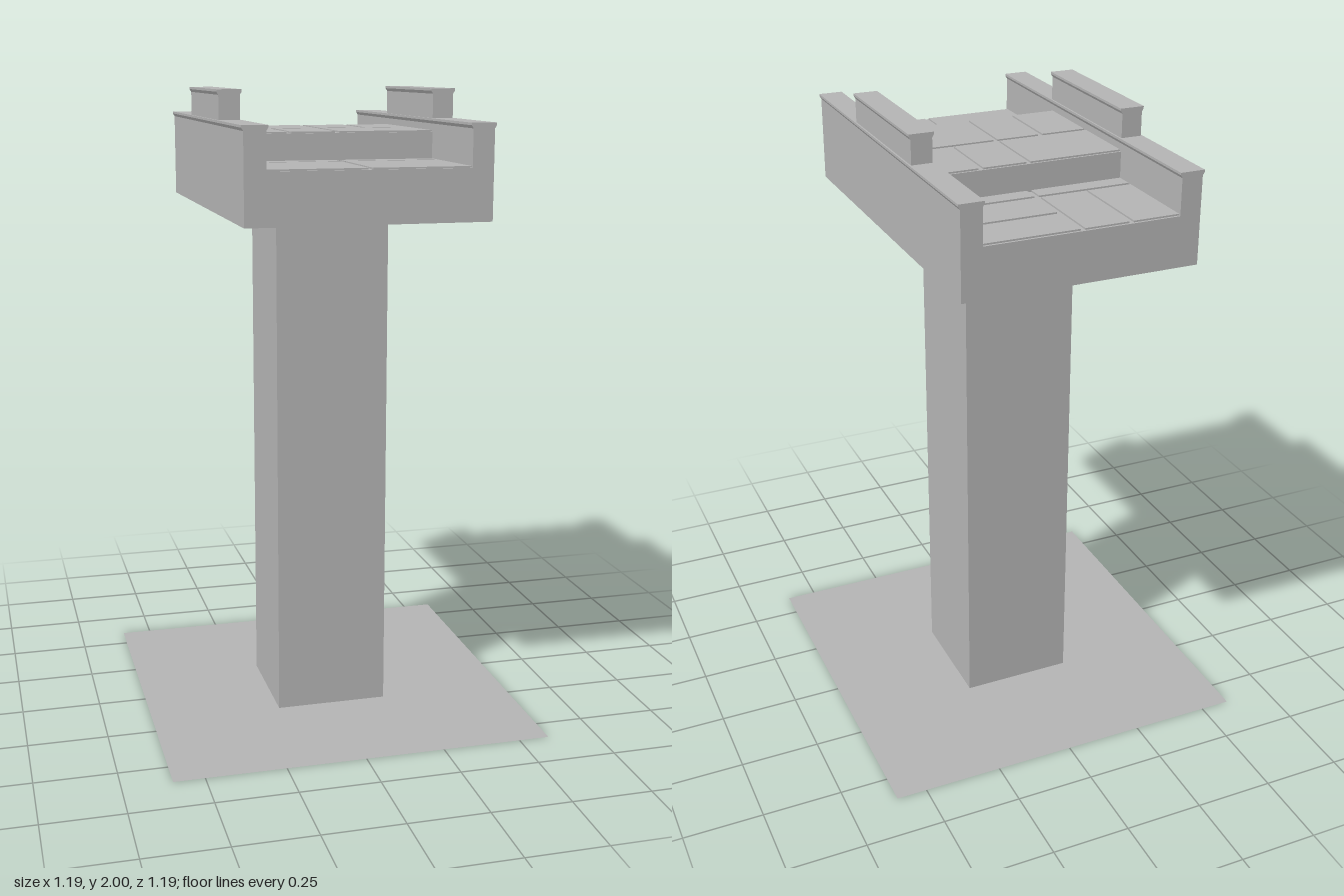
import * as THREE from 'three';

export function createModel() {
  const model = new THREE.Group();
  const stone = new THREE.MeshStandardMaterial({ color: 0xb3b3b3 });
  stone.name = 'stone grey';
  const groundStone = stone.clone();
  groundStone.name = 'ground grey';
  groundStone.side = THREE.DoubleSide;

  const HALF = 0.597, STEP = 0.238, WALL_IN = 0.299, WALL_OUT = 0.3635, LIP = 0.0055;
  const UNDER = 1.631, LOW = 1.79, HIGH = 1.875, TILE = 0.005;

  // Box given by its limits on each axis
  function block(name, x0, x1, y0, y1, z0, z1, parent = model) {
    const mesh = new THREE.Mesh(new THREE.BoxGeometry(x1 - x0, y1 - y0, z1 - z0), stone);
    mesh.position.set((x0 + x1) / 2, (y0 + y1) / 2, (z0 + z1) / 2);
    mesh.name = name;
    parent.add(mesh);
  }

  // Flat ground sheet
  const ground = new THREE.Mesh(new THREE.PlaneGeometry(2 * HALF, 2 * HALF), groundStone);
  ground.rotation.x = -Math.PI / 2;
  ground.name = 'groundSheet';
  model.add(ground);

  // Pillar, deck slab and the raised middle of the deck
  block('pillar', -0.179, 0.179, 0, UNDER, -0.179, 0.179);
  block('deck', -WALL_OUT, WALL_OUT, UNDER, LOW - TILE, -HALF, HALF);
  block('raisedDeck', -WALL_IN, WALL_IN, LOW - TILE, HIGH - TILE, -STEP, STEP);

  // Parapet walls whose tops flare into a thin lip
  function parapet(name, side, bottom, top, halfLength) {
    const shape = new THREE.Shape([
      [WALL_IN, bottom], [WALL_OUT, bottom], [WALL_OUT, top - 0.016], [WALL_OUT + LIP, top - 0.007],
      [WALL_OUT + LIP, top], [WALL_IN - LIP, top], [WALL_IN - LIP, top - 0.007], [WALL_IN, top - 0.016],
    ].map(([x, y]) => new THREE.Vector2(side * x, y)));
    const geometry = new THREE.ExtrudeGeometry(shape, { depth: 2 * halfLength, bevelEnabled: false });
    geometry.translate(0, 0, -halfLength);
    const mesh = new THREE.Mesh(geometry, stone);
    mesh.name = name;
    model.add(mesh);
  }
  for (const [label, side] of [['left', 1], ['right', -1]]) {
    parapet(label + 'Parapet', side, LOW - TILE, 1.911, HALF);
    parapet(label + 'RaisedParapet', side, 1.911, 2, STEP);
  }

  // Paving: x0, x1, z0, z1 of each slab, separated by narrow joints
  const E = WALL_IN, J = 0.007, A = 0.142, B = 0.157;
  const lowTiles = [
    [-E, -B, -0.59, -0.305], [-A, -J, -0.59, -0.305],
    [J, E, -0.59, -0.455], [J, E, -0.441, -0.305],
    [-E, -J, -0.292, -STEP], [J, E, -0.292, -STEP],
    [-E, -J, STEP, 0.292], [J, E, STEP, 0.292],
    [-E, -J, 0.305, 0.59], [J, E, 0.305, 0.59],
  ];
  const highTiles = [
    [-E, -J, -0.232, -J], [J, A, -0.232, -J], [B, E, -0.232, -J],
    [-E, -B, J, 0.232], [-A, -J, J, 0.232], [J, E, J, 0.232],
  ];
  const paving = new THREE.Group();
  paving.name = 'paving';
  model.add(paving);
  for (const [tiles, top] of [[lowTiles, LOW], [highTiles, HIGH]]) {
    for (const [x0, x1, z0, z1] of tiles) block('pavingSlab', x0, x1, top - TILE, top, z0, z1, paving);
  }

  return model;
}
